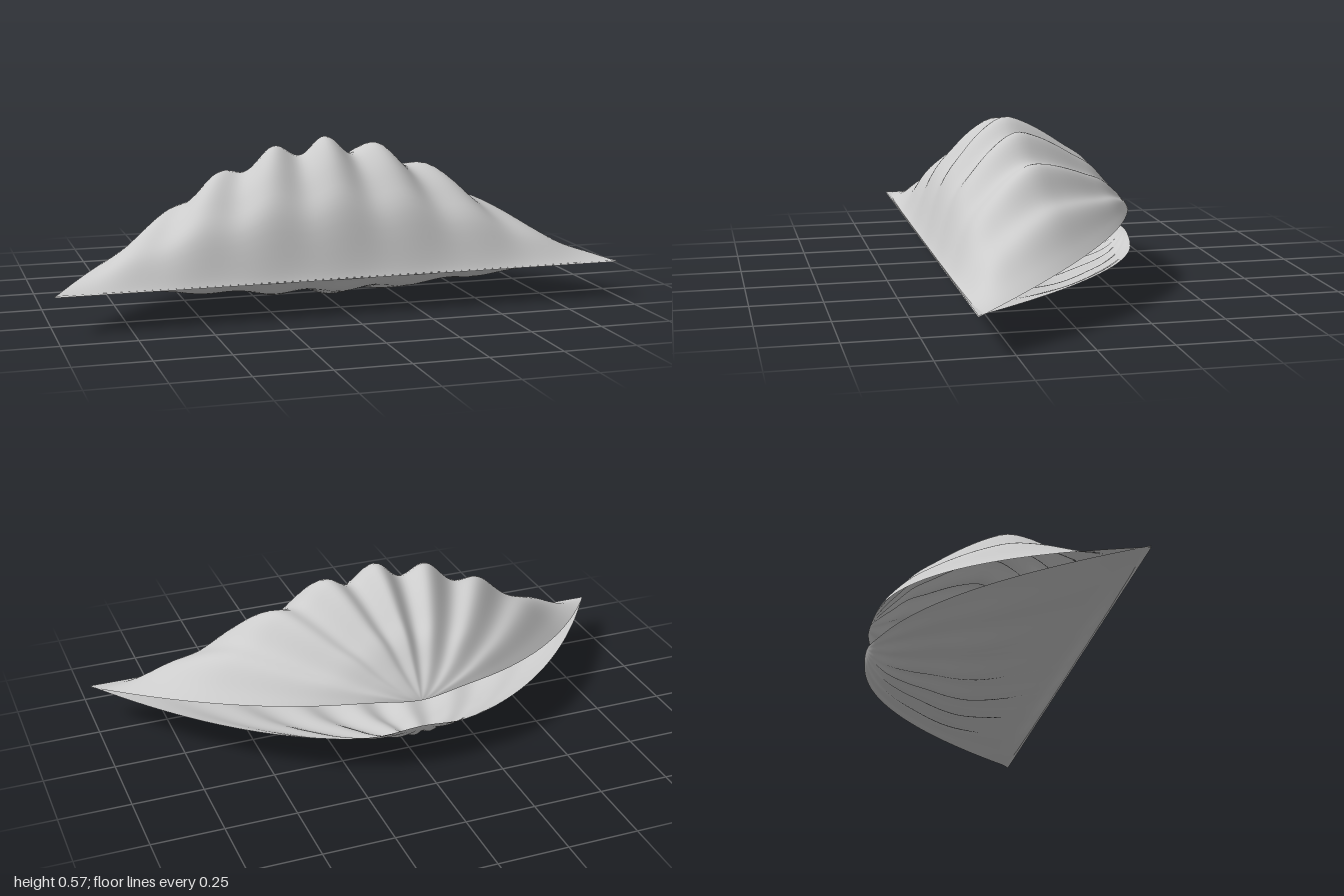
import * as THREE from 'three';

const RIB_SPACING = 0.27;

// Height profile along the middle rib, evenly spaced from beak (0) to front edge (1)
function profile(heights) {
  const n = heights.length - 1;
  const curve = new THREE.SplineCurve(heights.map((h, i) => new THREE.Vector2(i / n, h)));
  return (t) => curve.getPoint(t).y;
}

// One ribbed valve: ribs fan out from the beak at the back to the straight front edge
function valve(name, { side, height, ribDepth, zBack, rim, skew, beak }) {
  const geo = new THREE.PlaneGeometry(2, 1, 112, 44);
  const pos = geo.attributes.position;
  const zFront = 0.365;
  for (let i = 0; i < pos.count; i++) {
    const u = pos.getX(i);
    const v = 0.5 - side * pos.getY(i);
    const t = (1 - Math.cos(Math.PI * v)) / 2;
    const a = Math.abs(u);

    // Outer ribs bow sideways, inner ones run nearly straight
    const bow = 0.5 + 0.25 * (1 - a) ** 2;
    const x = u * t ** bow;
    const z = zBack + (zFront - zBack) * t;

    // Dome falling off to the sides, grooved between the ribs
    const dome = Math.max(0, 1 - u * u) ** 1.1;
    const groove = (1 - Math.cos((2 * Math.PI * u) / RIB_SPACING)) / 2;
    const h = height(t ** (1 - skew * u * u)) * dome * (1 - ribDepth * groove);
    const hook = beak * Math.exp(-t / 0.015);
    pos.setXYZ(i, x, rim(z) + side * (h - hook), z);
  }
  geo.computeVertexNormals();
  const mesh = new THREE.Mesh(
    geo,
    new THREE.MeshStandardMaterial({ color: 0xcccccc, side: THREE.DoubleSide })
  );
  mesh.name = name;
  return mesh;
}

export function createModel() {
  const group = new THREE.Group();
  group.name = 'clamShell';

  // Tall upper valve, tilted open toward the back
  group.add(valve('upperValve', {
    side: 1,
    height: profile([0, 0.085, 0.18, 0.243, 0.305, 0.358, 0.392, 0.365, 0.3, 0.205, 0]),
    ribDepth: 0.15,
    zBack: -0.357,
    rim: (z) => 0.125 + 0.2 * (0.365 - z),
    skew: 0.3,
    beak: 0.02,
  }));

  // Shallow lower valve with a level rim
  group.add(valve('lowerValve', {
    side: -1,
    height: profile([0, 0.055, 0.085, 0.103, 0.122, 0.13, 0.122, 0.106, 0.085, 0.058, 0]),
    ribDepth: 0.2,
    zBack: -0.368,
    rim: () => 0.13,
    skew: 0,
    beak: 0.025,
  }));

  return group;
}
